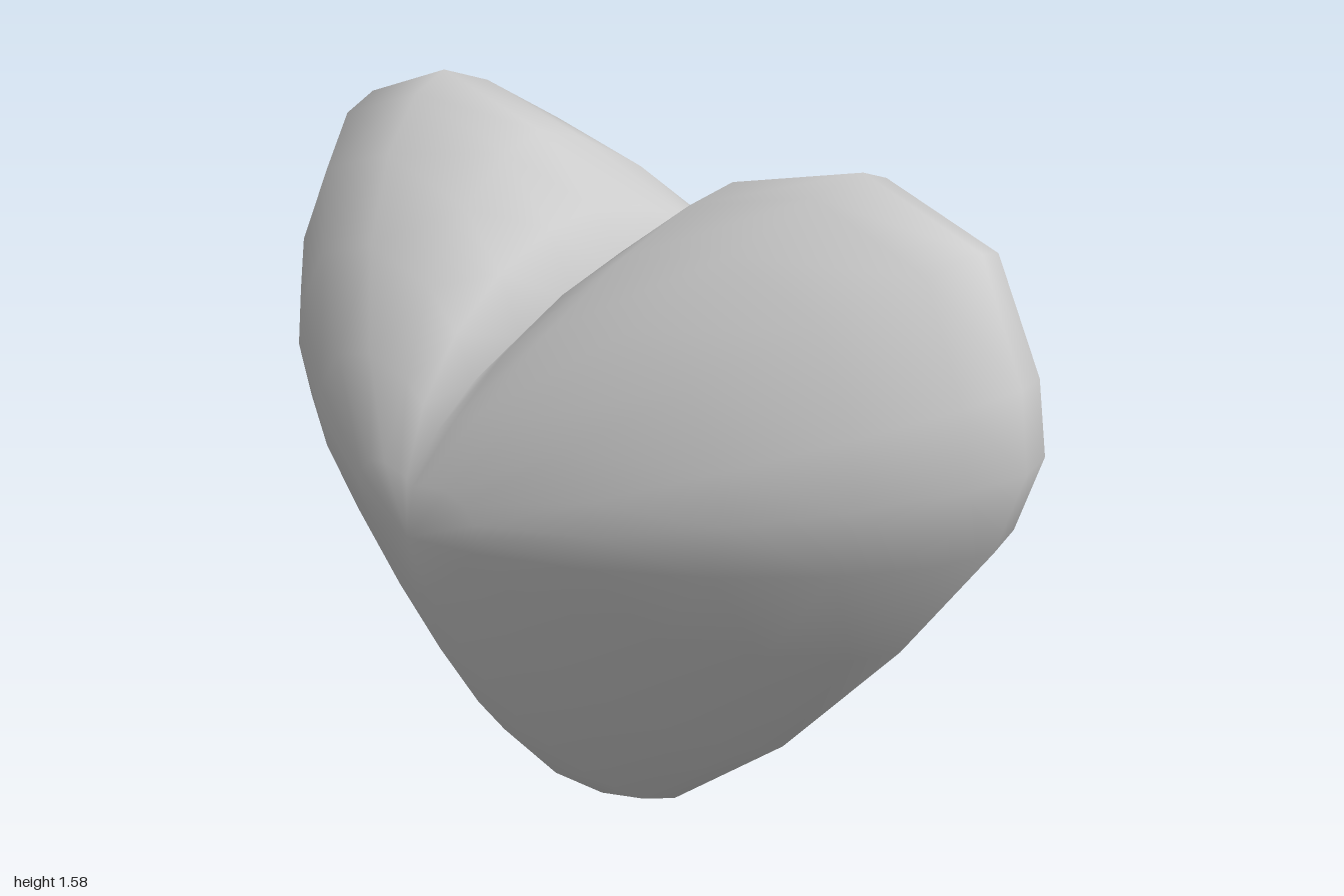
import * as THREE from 'three';

// Right half of the heart outline, bottom tip to notch: [x, y, roundness of the section]
const HALF = [
  [0, 0, 1.45], [0.14, 0.05, 1.45], [0.46, 0.33, 1.48], [0.75, 0.67, 1.55],
  [0.945, 0.95, 1.62], [1, 1.12, 1.62], [0.975, 1.27, 1.6], [0.87, 1.49, 1.52],
  [0.6, 1.58, 1.5], [0.28, 1.5, 1.55], [0.11, 1.37, 1.75], [0, 1.24, 2],
];
const CENTRE_Y = 0.85, DEPTH = 0.6, RINGS = 6;

export function createModel() {
  // Mirror the half outline into a closed counter-clockwise loop
  const mirrored = HALF.slice(1, -1).reverse().map(([x, y, p]) => [-x, y, p]);
  const loop = [...HALF, ...mirrored];
  const n = loop.length;
  const positions = [], index = [];

  // Rings shrink from the rim towards a front and a back pole along superellipse sections
  for (let j = 1 - RINGS; j < RINGS; j++) {
    const a = (j / RINGS) * Math.PI / 2;
    for (const [x, y, p] of loop) {
      const s = Math.cos(a) ** (2 / p);
      const z = Math.sign(a) * Math.abs(Math.sin(a)) ** (2 / p);
      positions.push(x * s, CENTRE_Y + (y - CENTRE_Y) * s, z * DEPTH);
    }
  }
  const rows = 2 * RINGS - 1, back = rows * n, front = back + 1;
  positions.push(0, CENTRE_Y, -DEPTH, 0, CENTRE_Y, DEPTH);

  for (let i = 0; i < n; i++) {
    const k = (i + 1) % n;
    for (let j = 0; j < rows - 1; j++) {
      const a = j * n + i, b = j * n + k;
      index.push(a, b, b + n, a, b + n, a + n);
    }
    // Pole caps
    index.push(back, k, i, (rows - 1) * n + i, (rows - 1) * n + k, front);
  }

  const geometry = new THREE.BufferGeometry();
  geometry.setAttribute('position', new THREE.Float32BufferAttribute(positions, 3));
  geometry.setIndex(index);
  geometry.computeVertexNormals();

  const heart = new THREE.Mesh(geometry, new THREE.MeshStandardMaterial({ color: 0xcccccc }));
  heart.name = 'heartBody';
  const group = new THREE.Group();
  group.name = 'heart';
  group.add(heart);
  return group;
}
